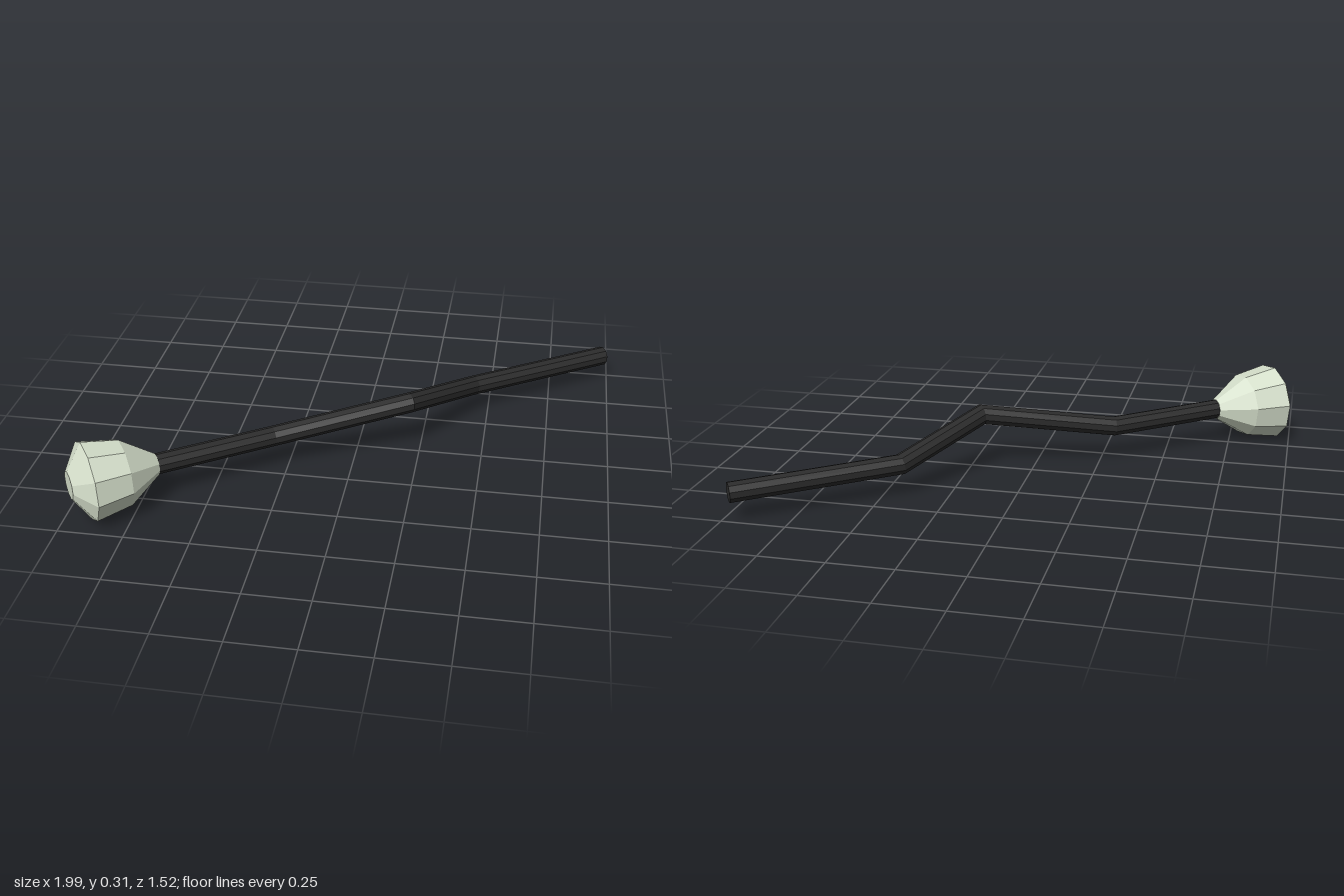
import * as THREE from 'three';

const V = (x, y, z) => new THREE.Vector3(x, y, z);

// Ring of points around a centre, square to the axis; angle 0 is up.
function ring(center, axis, radius, sides, phase) {
  const v = axis.clone().cross(V(0, 1, 0)).normalize();
  const u = v.clone().cross(axis).normalize();
  return Array.from({ length: sides }, (_, i) => {
    const a = phase + (i / sides) * Math.PI * 2;
    return center.clone().addScaledVector(u, radius * Math.cos(a)).addScaledVector(v, radius * Math.sin(a));
  });
}

// Faceted skin through successive rings, closed with flat end caps.
function loft(rings) {
  const pos = [];
  const tri = (...pts) => pts.forEach((p) => pos.push(p.x, p.y, p.z));
  const n = rings[0].length;
  for (let r = 0; r < rings.length - 1; r++) {
    for (let i = 0; i < n; i++) {
      const j = (i + 1) % n, a = rings[r], b = rings[r + 1];
      tri(a[i], a[j], b[j]);
      tri(a[i], b[j], b[i]);
    }
  }
  const first = rings[0], last = rings[rings.length - 1];
  for (let i = 1; i < n - 1; i++) {
    tri(first[0], first[i + 1], first[i]);
    tri(last[0], last[i], last[i + 1]);
  }
  const geo = new THREE.BufferGeometry();
  geo.setAttribute('position', new THREE.Float32BufferAttribute(pos, 3));
  geo.computeVertexNormals();
  return geo;
}

// Bent rod: each ring slides along its segment onto the mitre plane of the next bend.
function bentRod(points, radius, sides) {
  const dirs = points.slice(1).map((p, i) => p.clone().sub(points[i]).normalize());
  const rings = [ring(points[0], dirs[0], radius, sides, 0)];
  dirs.forEach((d, i) => {
    const normal = d.clone().add(dirs[i + 1] || d).normalize();
    const end = points[i + 1];
    rings.push(rings[i].map((p) => {
      const t = end.clone().sub(p).dot(normal) / d.dot(normal);
      return p.clone().addScaledVector(d, t);
    }));
  });
  return loft(rings);
}

export function createModel() {
  const model = new THREE.Group();
  const add = (name, geometry, color) => {
    const mesh = new THREE.Mesh(geometry, new THREE.MeshStandardMaterial({ color, flatShading: true }));
    mesh.name = name;
    model.add(mesh);
  };

  // Crooked shaft, from the head to the tail
  const neck = V(-0.69, 0.155, 0.48);
  add('shaft', bentRod([
    neck, V(-0.3, 0.145, 0.2), V(0.205, 0.225, 0), V(0.435, 0.125, -0.355), V(0.972, 0.112, -0.73),
  ], 0.04, 10), 0x2b2b2b);

  // Faceted gem head: [distance from the neck, radius]
  const axis = V(-0.815, 0.01, 0.58).normalize();
  const profile = [[0, 0.042], [0.13, 0.13], [0.27, 0.156], [0.335, 0.055]];
  add('gemHead', loft(profile.map(([d, r]) =>
    ring(neck.clone().addScaledVector(axis, d), axis, r, 10, Math.PI / 18))), 0xd5dfcb);

  return model;
}
